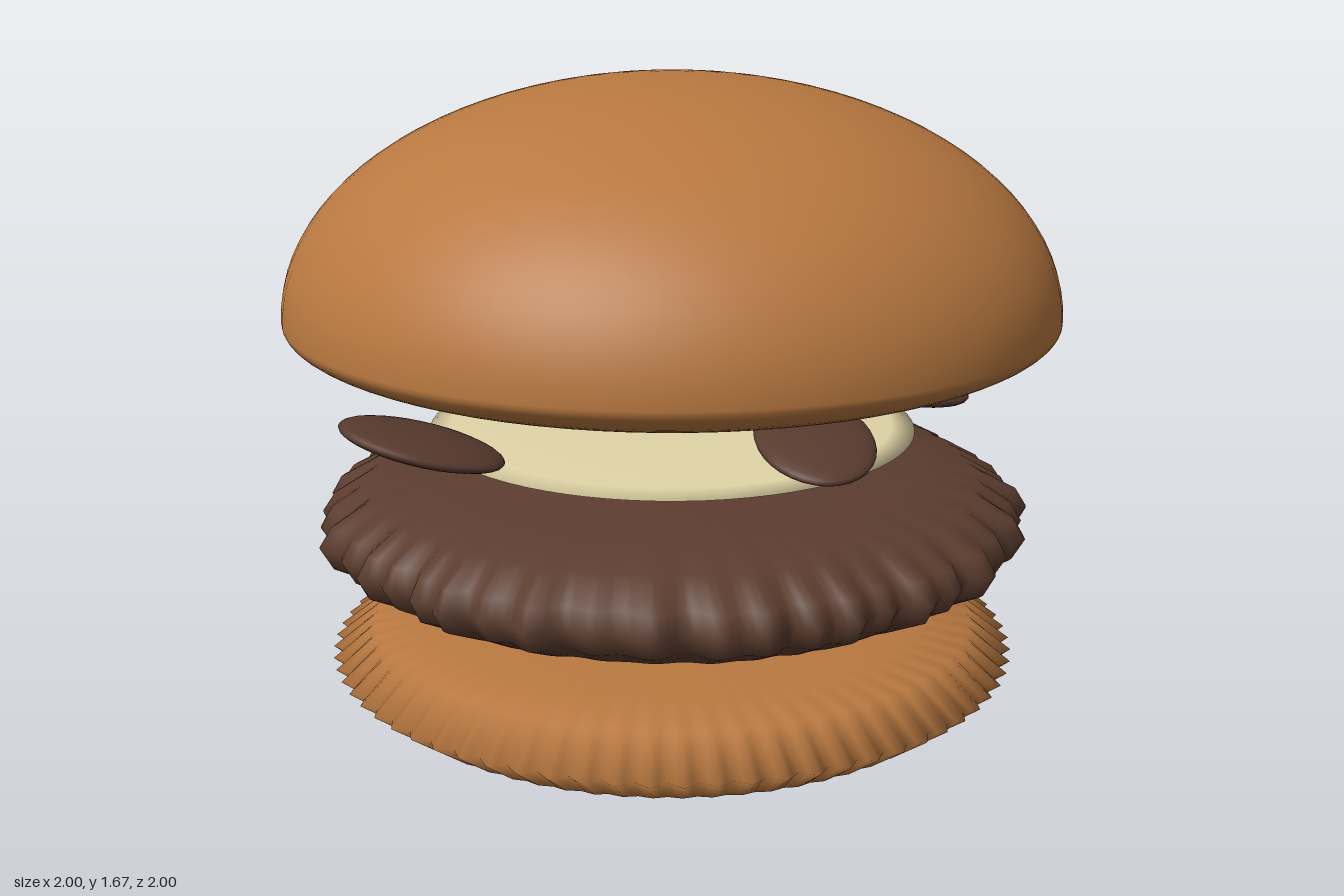
import * as THREE from 'three';
import { mergeVertices } from 'three/addons/utils/BufferGeometryUtils.js';

const mat = (name, color, side = THREE.FrontSide) => {
  const m = new THREE.MeshStandardMaterial({ color, side });
  m.name = name;
  return m;
};

// Turns [radius, height] pairs (bottom to top) into a disc; ripple(angle, y) pushes the rim in or out.
function ripplyDisc(profile, segments, ripple) {
  let geo = new THREE.LatheGeometry(profile.map(([r, y]) => new THREE.Vector2(r, y)), segments);
  const p = geo.attributes.position;
  for (let i = 0; i < p.count; i++) {
    const x = p.getX(i), z = p.getZ(i), r = Math.hypot(x, z);
    const edge = THREE.MathUtils.smoothstep(r, 0.74, 0.9);
    const k = 1 + edge * ripple(Math.atan2(z, x), p.getY(i));
    p.setX(i, x * k);
    p.setZ(i, z * k);
  }
  geo.deleteAttribute('uv');
  geo.deleteAttribute('normal');
  geo = mergeVertices(geo, 1e-4);
  geo.computeVertexNormals();
  return geo;
}

export function createModel() {
  const group = new THREE.Group();
  const bun = mat('toasted bun', 0xb87840);
  const meat = mat('browned meat', 0x5c3d2f);
  const cream = mat('pale cheese', 0xe0d4a6);
  const dark = mat('dark slice', 0x583a2e);
  const add = (name, geo, material) => {
    const mesh = new THREE.Mesh(geo, material);
    mesh.name = name;
    group.add(mesh);
    return mesh;
  };

  // Domed top bun: tall half-ellipse above, shallow one below
  const dome = [];
  for (let i = 0; i <= 48; i++) {
    const a = -Math.PI / 2 + Math.PI * i / 48;
    const r = i % 48 === 0 ? 0 : Math.cos(a);
    dome.push(new THREE.Vector2(r, 1.07 + Math.sin(a) * (a < 0 ? 0.172 : 0.6)));
  }
  add('topBun', new THREE.LatheGeometry(dome, 80), bun);

  // Bottom bun with a fine pleated rim
  add('bottomBun', ripplyDisc(
    [[0, 0.003], [0.4, 0.03], [0.65, 0.052], [0.8, 0.072], [0.9, 0.155],
      [0.8, 0.238], [0.65, 0.258], [0.4, 0.28], [0, 0.305]],
    288, a => 0.016 * Math.cos(72 * a)), bun);

  // Patty with an irregular crinkled rim
  add('patty', ripplyDisc(
    [[0, 0.34], [0.4, 0.36], [0.65, 0.387], [0.8, 0.412], [0.89, 0.465], [0.92, 0.52],
      [0.89, 0.57], [0.8, 0.626], [0.65, 0.655], [0.4, 0.68], [0, 0.70]],
    288, (a, y) => 0.016 * Math.cos(48 * a + 2 * Math.sin(5 * a)) +
      0.012 * Math.sin(23 * a + 5 * y) + 0.006 * Math.sin(9 * a)), meat);

  // Thin cheese disc
  add('cheese', ripplyDisc(
    [[0, 0.722], [0.35, 0.728], [0.58, 0.737], [0.64, 0.749], [0.58, 0.761], [0.35, 0.769], [0, 0.775]],
    72, () => 0), cream);

  // Loose oval slices: x, y, z, turn about y, tilt about x, tilt about z
  const slice = new THREE.SphereGeometry(1, 32, 16);
  slice.scale(0.2, 0.032, 0.14);
  [
    [-0.69, 0.87, 0.45, 0.0, 0.05, -0.28],
    [0.18, 0.91, 0.73, 1.45, 0.22, -0.02],
    [0.55, 0.885, 0.24, 0.3, 0.05, -0.2],
    [0.38, 0.85, 0.0, 0.1, 0.05, -0.2],
    [0.53, 0.875, -0.6, 0.9, 0.1, -0.12],
    [-0.13, 0.87, -0.6, 1.0, 0.12, -0.1],
    [-0.51, 0.89, -0.49, 0.2, 0.05, -0.15],
    [-0.2, 0.88, -0.22, 0.3, 0.05, -0.15],
  ].forEach(([x, y, z, turn, tiltX, tiltZ], i) => {
    const s = add('slice' + (i + 1), slice, dark);
    s.position.set(x, y, z);
    s.rotation.set(tiltX, turn, tiltZ, 'ZXY');
  });

  return group;
}
